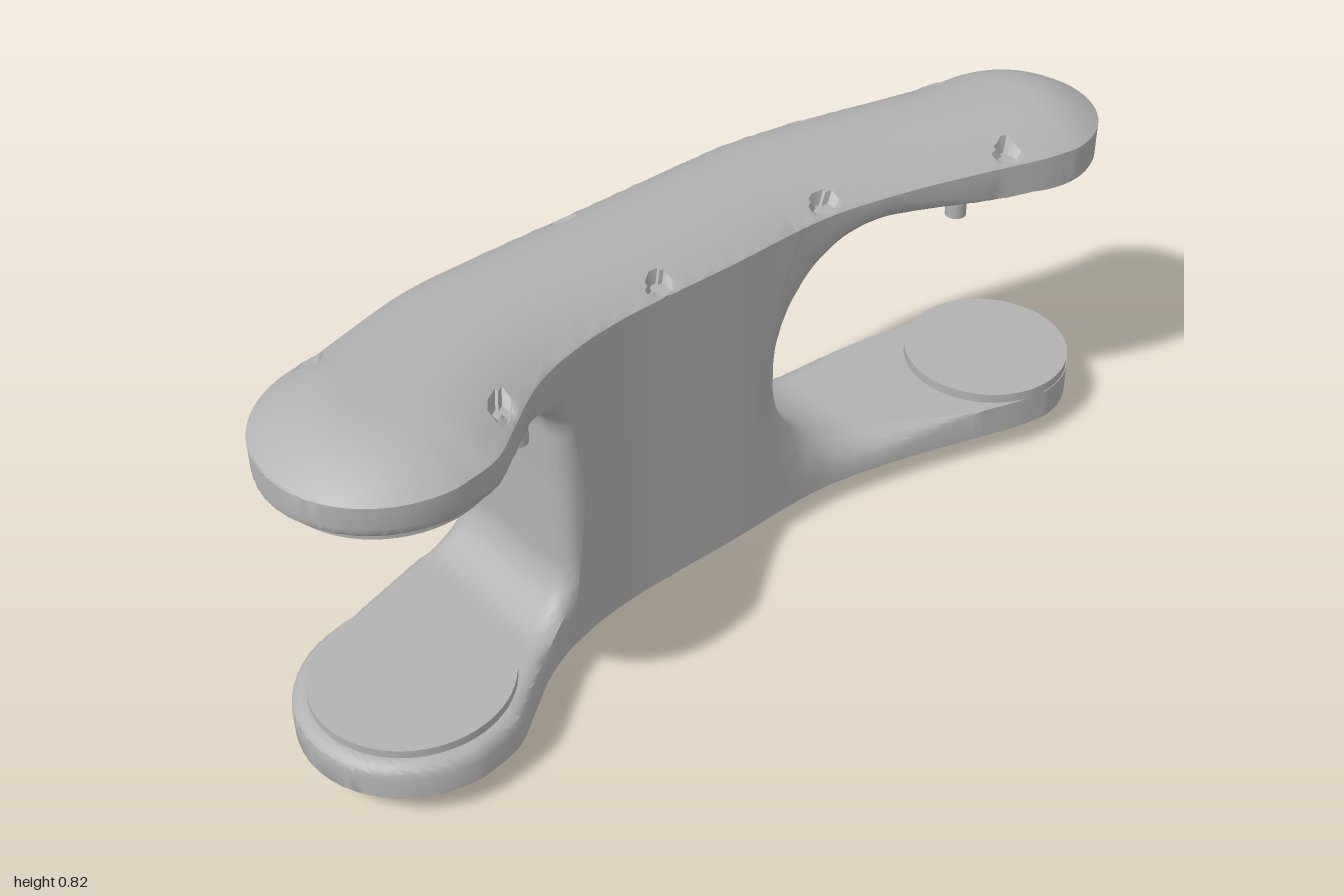
import * as THREE from 'three';
import { toCreasedNormals } from 'three/addons/utils/BufferGeometryUtils.js';

const H = 0.82, MID = 0.41, RIM = 0.76;
const grey = new THREE.MeshStandardMaterial({ color: 0xb2b2b2 });
grey.name = 'grey';

// Rounded ends of the plan outline
const FRONT = { x: 0.035, z: 0.77, r: 0.23 };
const BACK = { x: 0.035, z: -0.813, r: 0.187 };

// Side edges of the plan outline as [z, x]
const rightEdge = [[-0.813, 0.222], [-0.74, 0.208], [-0.61, 0.165], [-0.44, 0.113], [-0.25, 0.075],
  [0, 0.075], [0.27, 0.075], [0.42, 0.098], [0.52, 0.138], [0.61, 0.2], [0.68, 0.247], [0.77, 0.265]];
const leftEdge = [[-0.813, -0.152], [-0.72, -0.168], [-0.46, -0.232], [-0.32, -0.258], [-0.22, -0.265],
  [0.1, -0.265], [0.45, -0.265], [0.55, -0.254], [0.66, -0.226], [0.77, -0.195]];

// Smooth interpolation x(z) through an edge's points
function smooth(pts, z) {
  const n = pts.length;
  const slope = (k) => {
    const a = pts[Math.max(k - 1, 0)], b = pts[Math.min(k + 1, n - 1)];
    return (b[1] - a[1]) / (b[0] - a[0]);
  };
  let i = 0;
  while (i < n - 2 && z > pts[i + 1][0]) i++;
  const [z0, x0] = pts[i], [z1, x1] = pts[i + 1];
  const w = z1 - z0, t = (z - z0) / w, t2 = t * t, t3 = t2 * t;
  return (2 * t3 - 3 * t2 + 1) * x0 + (t3 - 2 * t2 + t) * w * slope(i)
    + (3 * t2 - 2 * t3) * x1 + (t3 - t2) * w * slope(i + 1);
}

function edgeX(z, side) {
  for (const c of [FRONT, BACK]) {
    if ((c === FRONT && z > c.z) || (c === BACK && z < c.z)) {
      return c.x + side * Math.sqrt(Math.max(0, c.r * c.r - (z - c.z) ** 2));
    }
  }
  return smooth(side > 0 ? rightEdge : leftEdge, z);
}

// Dense outline, used to measure the distance to the rim
const outline = [];
for (let i = 0; i <= 240; i++) {
  const z = Math.cos((i / 240) * Math.PI);
  outline.push([edgeX(z, 1), z], [edgeX(z, -1), z]);
}
function rimDistance(x, z) {
  let best = 1;
  for (const [ox, oz] of outline) best = Math.min(best, (x - ox) ** 2 + (z - oz) ** 2);
  return Math.sqrt(best);
}

// Small pockets sunk into the domed faces, [x, z]
const pockets = [[-0.145, -0.77], [-0.22, -0.445], [-0.24, 0.16], [-0.177, 0.775],
  [0.156, -0.675], [0.05, -0.26], [0.05, 0.16], [0.16, 0.6]];

// Underside path from front to back: position, direction into the solid, edge rounding
function undersidePath() {
  const path = [];
  const add = (z, y, nz, ny, r) => path.push({ z, y, nz, ny, r });
  for (let i = 0; i < 56; i++) add(1 - 0.44 * (i / 56) ** 2, 0.685, 0, 1, 0.03);
  for (let i = 0; i <= 14; i++) { // front fillet
    const a = (i / 14) * Math.PI / 2, s = Math.sin(a), c = Math.cos(a);
    add(0.56 - 0.12 * s, 0.565 + 0.12 * c, -s, c, 0.03 + 0.03 * i / 14);
  }
  add(0.44, MID, -1, 0, 0.06);
  for (let i = 0; i <= 44; i++) add(0.38 - 0.455 * (i / 44), MID, 0, 0, 0); // web
  add(-0.165, MID, 1, 0, 0.09);
  for (let i = 0; i <= 22; i++) { // wide back scoop
    const a = (i / 22) * Math.PI / 2, s = Math.sin(a), c = Math.cos(a);
    add(-0.415 + 0.25 * c, 0.44 + 0.247 * s, c, s, 0.09 - 0.03 * i / 22);
  }
  for (let i = 1; i <= 60; i++) {
    const z = -1 + 0.585 * (1 - i / 60) ** 2;
    add(z, 0.687, 0, 1, 0.06 * THREE.MathUtils.clamp((z + 0.65) / 0.23, 0, 1));
  }
  return path;
}

// Positions across the width, denser near both edges
const half = [0, 0.012, 0.03, 0.05, 0.07, 0.09, 0.11, 0.13, 0.15, 0.18, 0.22, 0.3, 0.4];
const across = [...half, 0.5, ...half.map((u) => 1 - u).reverse()];

// Upper half of the body, or its mirror image below
function bodyHalf(mirrored) {
  const pos = [], idx = [], path = undersidePath(), n = across.length, ring = 2 * n;
  const at = (u, z) => THREE.MathUtils.lerp(edgeX(z, -1), edgeX(z, 1), u);
  const put = (x, y, z) => pos.push(x, mirrored ? H - y : y, z);
  for (const p of path) {
    const dist = across.map((u) => (u === 0 || u === 1 ? 0 : rimDistance(at(u, p.z), p.z)));
    across.forEach((u, j) => { // domed face
      const x = at(u, p.z), k = 1 - Math.min(dist[j] / 0.17, 1);
      let y = RIM + (H - RIM) * (1 - k * k);
      if (pockets.some(([a, b]) => Math.hypot(x - a, p.z - b) < 0.024)) y = RIM + 0.003;
      put(x, y, p.z);
    });
    for (let j = n - 1; j >= 0; j--) { // underside with rounded edges
      const k = Math.max(p.r - dist[j], 0);
      const off = p.r - Math.sqrt(Math.max(p.r * p.r - k * k, 0));
      const z = p.z + p.nz * off;
      put(at(across[j], z), p.y + p.ny * off, z);
    }
  }
  for (let i = 0; i < path.length - 1; i++) {
    const inside = path[i].y === MID && path[i + 1].y === MID;
    for (let j = 0; j < ring; j++) {
      if (inside && j >= n && j < ring - 1) continue;
      const k = (j + 1) % ring;
      const a = i * ring + j, b = i * ring + k, c = a + ring, d = b + ring;
      if (mirrored) idx.push(a, c, b, b, c, d);
      else idx.push(a, b, c, b, d, c);
    }
  }
  const g = new THREE.BufferGeometry();
  g.setAttribute('position', new THREE.Float32BufferAttribute(pos, 3));
  g.setIndex(idx);
  return toCreasedNormals(g, 0.6);
}

export function createModel() {
  const model = new THREE.Group();
  const add = (name, geometry) => {
    const mesh = new THREE.Mesh(geometry, grey);
    mesh.name = name;
    model.add(mesh);
    return mesh;
  };
  const disc = (name, x, z, r, y0, y1, sides) =>
    add(name, new THREE.CylinderGeometry(r, r, y1 - y0, sides)).position.set(x, (y0 + y1) / 2, z);

  add('upperBody', bodyHalf(false));
  add('lowerBody', bodyHalf(true));

  // Round pads facing each other at the arm ends
  disc('upperFrontPad', FRONT.x, FRONT.z, 0.2, 0.667, 0.72, 64);
  disc('lowerFrontPad', FRONT.x, FRONT.z, 0.2, 0.1, 0.153, 64);
  disc('upperBackPad', BACK.x, BACK.z, 0.185, 0.682, 0.72, 64);
  disc('lowerBackPad', BACK.x, BACK.z, 0.185, 0.1, 0.155, 64);

  // Locating pins under the upper arms
  for (const [x, z] of [[-0.105, 0.58], [0.103, 0.54], [0.1, -0.595], [-0.13, -0.67]]) {
    disc('pin', x, z, 0.022, 0.636, 0.71, 24);
  }
  return model;
}
